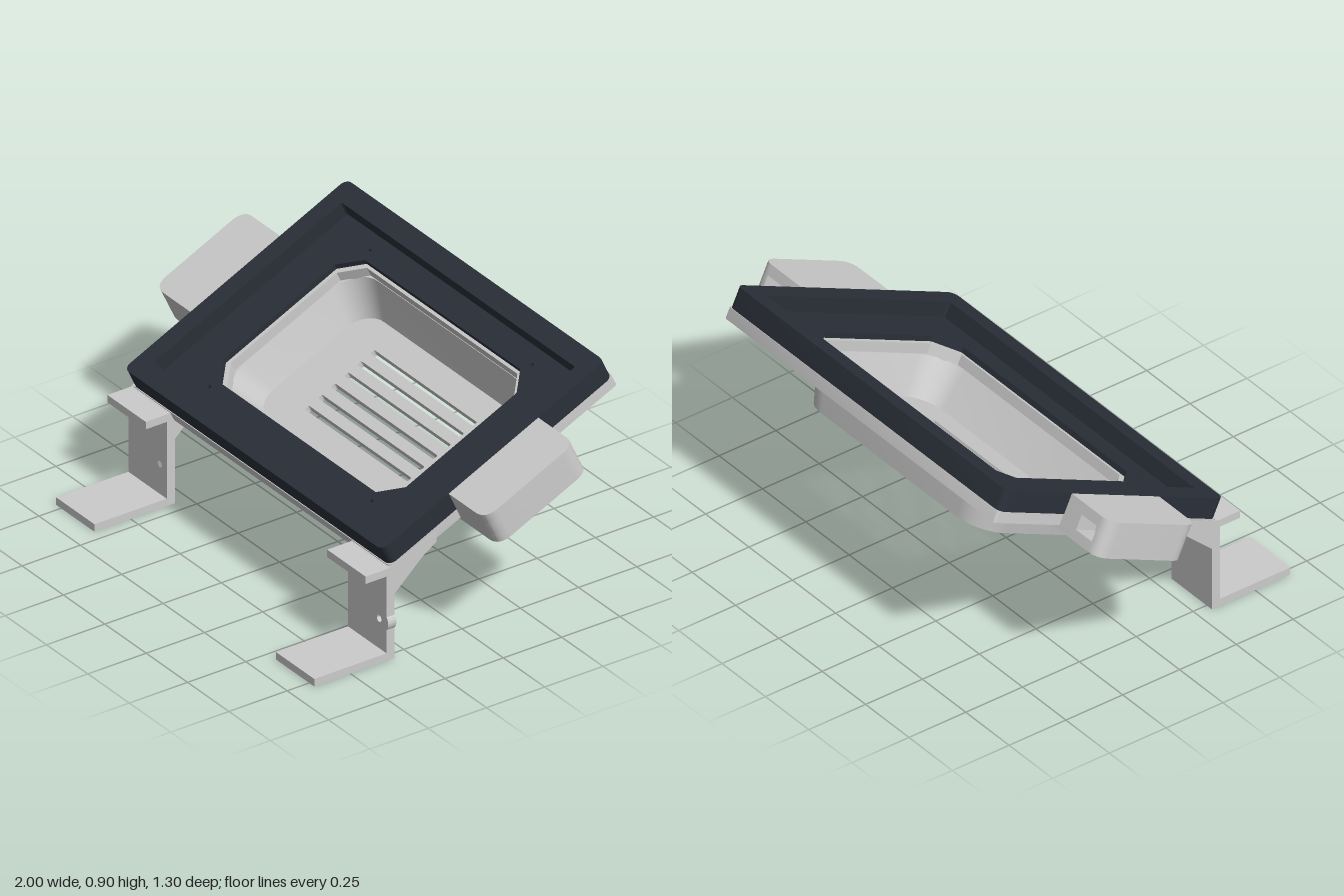
import * as THREE from 'three';
import { toCreasedNormals } from 'three/addons/utils/BufferGeometryUtils.js';

const grey = new THREE.MeshStandardMaterial({ color: 0xcccccc });
const dark = new THREE.MeshStandardMaterial({ color: 0x2a2f38 });

function part(parent, name, geometry, material = grey) {
  const mesh = new THREE.Mesh(toCreasedNormals(geometry, 0.5), material);
  mesh.name = name;
  parent.add(mesh);
  return mesh;
}

// Rounded rectangle of half sizes hx, hy; steps = 1 gives chamfered corners
function rectPoints(hx, hy, r, steps = 8) {
  const points = [];
  [[1, 1], [-1, 1], [-1, -1], [1, -1]].forEach(([sx, sy], q) => {
    for (let i = 0; i <= steps; i++) {
      const a = (q + i / steps) * Math.PI / 2;
      points.push(new THREE.Vector2(sx * (hx - r) + r * Math.cos(a), sy * (hy - r) + r * Math.sin(a)));
    }
  });
  return points;
}
const rectShape = (...args) => new THREE.Shape(rectPoints(...args));

function circle(x, y, r) {
  const path = new THREE.Path();
  path.absarc(x, y, r, 0, Math.PI * 2, true);
  return path;
}

// Flat slab lying in the xz plane
function slab(shape, y, height) {
  return new THREE.ExtrudeGeometry(shape, { depth: height, bevelEnabled: false, curveSegments: 16 })
    .rotateX(-Math.PI / 2).translate(0, y, 0);
}

// Skin over rounded-rectangle rings [y, hx, hz, r]
function loft(rings) {
  const positions = [], index = [];
  let n = 0;
  for (const [y, hx, hz, r] of rings) {
    const points = rectPoints(hx, hz, r);
    n = points.length;
    points.forEach(p => positions.push(p.x, y, -p.y));
  }
  for (let i = 0; i < rings.length - 1; i++) {
    for (let j = 0; j < n; j++) {
      const a = i * n + j, b = i * n + (j + 1) % n;
      index.push(a, b, a + n, b, b + n, a + n);
    }
  }
  const geometry = new THREE.BufferGeometry();
  geometry.setAttribute('position', new THREE.Float32BufferAttribute(positions, 3));
  geometry.setIndex(index);
  return geometry;
}

// Wing outline; the notch opens a socket in the back edge
function wingShape(side, notch) {
  const s = new THREE.Shape();
  s.moveTo(0.76, -0.212);
  s.lineTo(0.94, -0.212);
  s.quadraticCurveTo(1, -0.212, 1, -0.152);
  s.lineTo(1, 0.152);
  s.quadraticCurveTo(1, 0.212, 0.95, 0.212);
  if (notch) {
    s.lineTo(0.95, 0.12);
    s.lineTo(0.86, 0.12);
    s.lineTo(0.86, 0.212);
  }
  s.lineTo(0.76, 0.212);
  return new THREE.Shape(s.getPoints(10).map(p => new THREE.Vector2(p.x * side, p.y)));
}

function buildCase() {
  const body = new THREE.Group();
  body.name = 'tiltedCase';
  const mounts = [[-0.49, -0.38], [0.49, -0.38], [-0.49, 0.38], [0.49, 0.38]];

  // Dark bezel: raised rim around a recessed bed
  const rim = rectShape(0.78, 0.527, 0.03);
  rim.holes.push(new THREE.Path(rectPoints(0.705, 0.445, 0.005, 1)));
  part(body, 'bezelRim', slab(rim, 0, 0.082), dark);
  const bed = rectShape(0.77, 0.517, 0.03);
  bed.holes.push(new THREE.Path(rectPoints(0.55, 0.342, 0.08, 1)));
  mounts.forEach(([x, z]) => bed.holes.push(circle(x, z, 0.008)));
  part(body, 'bezelBed', slab(bed, 0.001, 0.021), dark);

  // Back plate with screw bosses
  const plate = rectShape(0.778, 0.53, 0.015);
  plate.holes.push(new THREE.Path(rectPoints(0.535, 0.33, 0.08, 1)));
  mounts.forEach(([x, z]) => plate.holes.push(circle(x, z, 0.008)));
  part(body, 'backPlate', slab(plate, -0.045, 0.045));
  for (const [x, z] of mounts) {
    const ring = new THREE.Shape().absarc(x, z, 0.032, 0, Math.PI * 2, false);
    ring.holes.push(circle(x, z, 0.013));
    part(body, 'screwBoss', slab(ring, -0.07, 0.03));
  }

  // Basin: tapered wall and a slotted floor
  part(body, 'basinWall', loft([
    [-0.215, 0.51, 0.306, 0.12], [-0.04, 0.55, 0.345, 0.14],
    [-0.04, 0.53, 0.328, 0.12], [-0.19, 0.49, 0.27, 0.1],
  ]));
  const floor = rectShape(0.51, 0.306, 0.12);
  for (let i = 0; i < 6; i++) {
    const z = (i - 2.5) * 0.062;
    floor.holes.push(new THREE.Path(rectPoints(0.31, 0.01, 0.003, 1).map(p => p.add(new THREE.Vector2(0, z)))));
  }
  part(body, 'ventedFloor', slab(floor, -0.215, 0.027));

  // Side wings with a socket in the back edge
  for (const side of [-1, 1]) {
    const wing = new THREE.Group();
    wing.name = side > 0 ? 'leftWing' : 'rightWing';
    part(wing, 'wingBottom', slab(wingShape(side, false), -0.06, 0.04));
    part(wing, 'wingMiddle', slab(wingShape(side, true), -0.02, 0.06));
    part(wing, 'wingTop', slab(wingShape(side, false), 0.04, 0.041));
    body.add(wing);
  }

  body.rotation.x = THREE.MathUtils.degToRad(25);
  body.position.set(0, 0.602, -0.148);
  return body;
}

function buildLeg(side) {
  const leg = new THREE.Group();
  leg.name = side > 0 ? 'leftLeg' : 'rightLeg';
  const inner = 0.548, outer = 0.78, width = outer - inner, middle = side * (inner + outer) / 2;

  // Upright with holes; the left one has a rounded lug on its outer edge
  const s = new THREE.Shape();
  s.moveTo(side * inner, 0.03);
  s.lineTo(side * outer, 0.03);
  if (side > 0) s.absarc(0.752, 0.15, 0.038, -0.74, 0.74, false);
  s.lineTo(side * outer, 0.35);
  s.lineTo(side * inner, 0.35);
  s.closePath();
  if (side > 0) s.holes.push(circle(0.595, 0.15, 0.048), circle(0.735, 0.15, 0.014));
  else s.holes.push(circle(-0.59, 0.15, 0.013));
  part(leg, 'upright', new THREE.ExtrudeGeometry(s, { depth: 0.035, bevelEnabled: false, curveSegments: 20 })
    .translate(0, 0, 0.31));

  // Foot
  part(leg, 'foot', new THREE.BoxGeometry(width, 0.03, 0.345).translate(middle, 0.015, 0.4825));

  // Shelf and gusset that carry the case, profile as (z, y)
  const profile = [[0.31, 0.26], [0.345, 0.26], [0.345, 0.34], [0.435, 0.34], [0.435, 0.37],
    [0.335, 0.37], [0.325, 0.376], [0.13, 0.45], [0.13, 0.41], [0.19, 0.37]];
  const gusset = new THREE.Shape(profile.map(([z, y]) => new THREE.Vector2(z, y)));
  part(leg, 'shelfAndGusset', new THREE.ExtrudeGeometry(gusset, { depth: width, bevelEnabled: false })
    .rotateY(-Math.PI / 2).translate(middle + width / 2, 0, 0));
  return leg;
}

export function createModel() {
  const model = new THREE.Group();
  model.name = 'displayStand';
  model.add(buildCase(), buildLeg(-1), buildLeg(1));
  return model;
}
